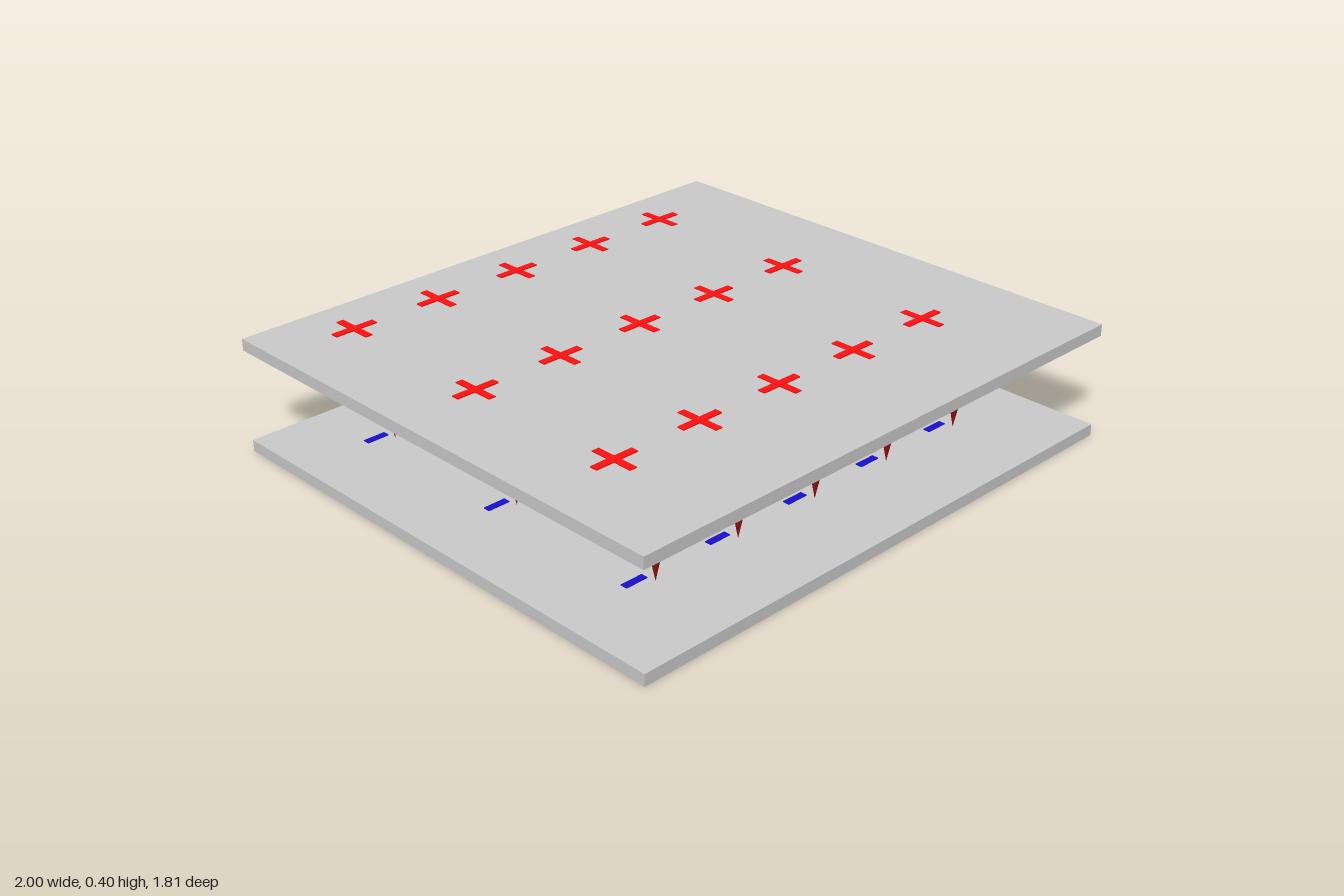
import * as THREE from 'three';

const paint = (color) => new THREE.MeshStandardMaterial({ color });

function add(parent, name, geometry, material, x, y, z) {
  const mesh = new THREE.Mesh(geometry, material);
  mesh.name = name;
  mesh.position.set(x, y, z);
  parent.add(mesh);
  return mesh;
}

export function createModel() {
  const model = new THREE.Group();
  model.name = 'parallelPlates';

  const grey = paint(0xcccccc);
  const red = paint(0xff1010);
  const blue = paint(0x1a10d0);
  const darkRed = paint(0x991010);

  const thickness = 0.04, topY = 0.396, gapTop = topY - thickness;

  // Two parallel plates
  const plate = new THREE.BoxGeometry(2, thickness, 1.81);
  add(model, 'bottomPlate', plate, grey, 0, thickness / 2, 0);
  add(model, 'topPlate', plate, grey, 0, topY - thickness / 2, 0);

  // Shared geometry of arrows and signs
  const headLength = 0.09;
  const shaftLength = gapTop - thickness - headLength;
  const shaft = new THREE.CylinderGeometry(0.009, 0.009, shaftLength, 12);
  const head = new THREE.ConeGeometry(0.018, headLength, 12).rotateX(Math.PI);
  const plusAcross = new THREE.BoxGeometry(0.155, 0.004, 0.026);
  const plusAlong = new THREE.BoxGeometry(0.026, 0.003, 0.155);
  const minusBar = new THREE.BoxGeometry(0.08, 0.003, 0.024);

  for (let row = -1; row <= 1; row++) {
    for (let column = -2; column <= 2; column++) {
      const cell = new THREE.Group();
      cell.name = 'fieldLine';
      cell.position.set(column / 3, 0, row * 0.6);
      model.add(cell);

      // Arrow pointing from the top plate to the bottom plate
      add(cell, 'arrowShaft', shaft, darkRed, 0, gapTop - shaftLength / 2, 0);
      add(cell, 'arrowHead', head, darkRed, 0, thickness + headLength / 2, 0);

      // Plus sign on the top plate
      add(cell, 'plusAcross', plusAcross, red, -0.04, topY + 0.002, -0.12);
      add(cell, 'plusAlong', plusAlong, red, -0.04, topY + 0.0015, -0.12);

      // Minus sign on the bottom plate
      add(cell, 'minusSign', minusBar, blue, -0.045, thickness + 0.0015, -0.04);
    }
  }
  return model;
}
